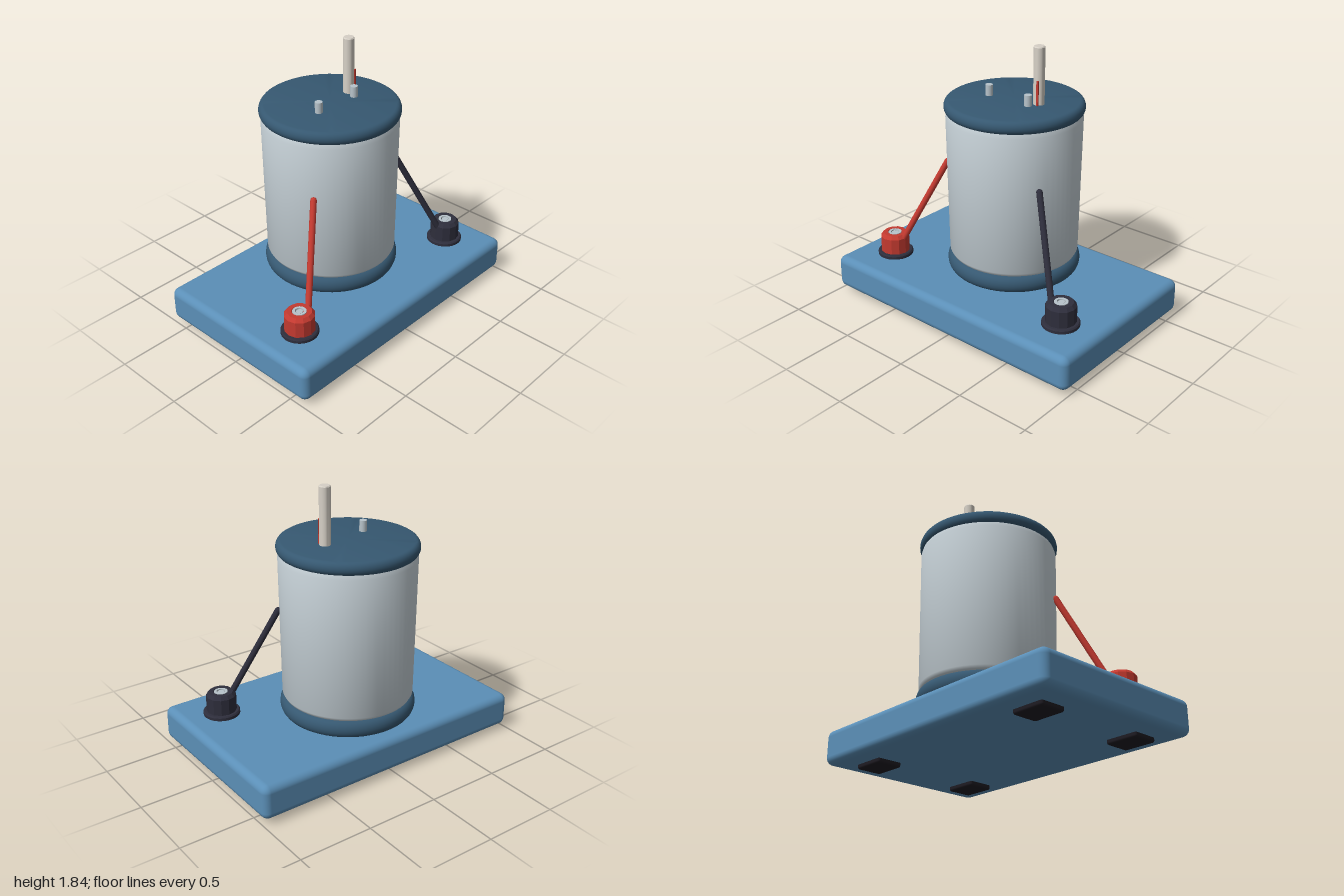
import * as THREE from 'three';
import { RoundedBoxGeometry } from 'three/addons/geometries/RoundedBoxGeometry.js';
import { toCreasedNormals } from 'three/addons/utils/BufferGeometryUtils.js';

const mat = (name, color) => {
  const m = new THREE.MeshStandardMaterial({ color });
  m.name = name;
  return m;
};

export function createModel() {
  const blue = mat('base blue', 0x5b8fb7);
  const navy = mat('cap navy', 0x365871);
  const silver = mat('body silver', 0xc6d1d7);
  const steel = mat('pin steel', 0xb8c4cb);
  const cream = mat('rod cream', 0xd6d0c6);
  const red = mat('red', 0xc43a30);
  const black = mat('charcoal', 0x2e2e3c);
  const rubber = mat('rubber', 0x1e1b22);

  const model = new THREE.Group();
  const CZ = -0.105; // vessel axis

  const add = (name, geo, material, x, y, z, parent = model) => {
    const mesh = new THREE.Mesh(geo, material);
    mesh.name = name;
    mesh.position.set(x, y, z);
    parent.add(mesh);
    return mesh;
  };
  const lathe = (pts, seg = 64) =>
    toCreasedNormals(new THREE.LatheGeometry(pts.map(p => new THREE.Vector2(...p)), seg), 0.6);
  // Disc with a rounded rim
  const roundedDisc = (r, h, e) => {
    const pts = [[0, 0]];
    for (let i = 0; i <= 10; i++) {
      const a = -Math.PI / 2 + Math.PI * i / 10;
      pts.push([r - e + e * Math.cos(a), h / 2 + h / 2 * Math.sin(a)]);
    }
    pts.push([0, h]);
    return lathe(pts);
  };

  // Base and feet
  add('base', new RoundedBoxGeometry(2, 0.235, 1.26, 4, 0.05), blue, 0, 0.1475, 0);
  for (const sx of [-1, 1]) for (const sz of [-1, 1]) {
    add('foot', new RoundedBoxGeometry(0.23, 0.05, 0.18, 2, 0.015), rubber, sx * 0.72, 0.025, sz * 0.39);
  }

  // Vessel: bottom ring, slightly flared body, lid
  add('bottomRing', roundedDisc(0.452, 0.12, 0.045), navy, 0, 0.265, CZ);
  add('vesselBody', lathe([[0, 0.37], [0.405, 0.375], [0.425, 0.39], [0.436, 0.41],
    [0.449, 1.35], [0.44, 1.38], [0, 1.38]]), silver, 0, 0, CZ);
  add('lid', roundedDisc(0.46, 0.088, 0.035), navy, 0, 1.374, CZ);

  // Pins, rod and its red marker on the lid
  for (const x of [-0.165, 0.159]) {
    add('lidPin', new THREE.CylinderGeometry(0.025, 0.025, 0.09, 16), steel, x, 1.49, -0.045);
  }
  add('rod', lathe([[0, 0], [0.037, 0], [0.037, 0.385], [0.032, 0.392], [0, 0.392]], 24), cream, 0.188, 1.45, -0.118);
  add('rodMarker', new THREE.BoxGeometry(0.014, 0.17, 0.009), red, 0.205, 1.54, -0.081);

  // Terminals with faceted knobs, sockets and leads to the vessel
  for (const [side, colour, label] of [[-1, red, 'right'], [1, black, 'left']]) {
    const terminal = new THREE.Group();
    terminal.name = label + 'Terminal';
    terminal.position.set(side * 0.73, 0.26, 0.32);
    model.add(terminal);
    add('collar', lathe([[0, 0], [0.122, 0], [0.122, 0.024], [0.115, 0.032], [0, 0.032]], 32), black, 0, 0, 0, terminal);
    const knob = toCreasedNormals(new THREE.LatheGeometry(
      [[0, 0.03], [0.1, 0.03], [0.1, 0.142], [0.08, 0.165], [0.05, 0.165], [0.045, 0.15], [0, 0.15]]
        .map(p => new THREE.Vector2(...p)), 12), 0.3);
    add('knob', knob, colour, 0, 0, 0, terminal);
    add('socketRing', lathe([[0.028, 0.145], [0.045, 0.145], [0.045, 0.166], [0.028, 0.166], [0.028, 0.145]], 24),
      steel, 0, 0, 0, terminal);
    add('socketPin', new THREE.CylinderGeometry(0.024, 0.024, 0.012, 6), steel, 0, 0.156, 0, terminal);

    const path = new THREE.LineCurve3(
      new THREE.Vector3(side * 0.66, 0.37, 0.325), new THREE.Vector3(side * 0.392, 0.99, 0.122));
    add(label + 'Lead', new THREE.TubeGeometry(path, 1, 0.021, 12), colour, 0, 0, 0);
    add(label + 'LeadTip', new THREE.SphereGeometry(0.021, 12, 8), colour, side * 0.392, 0.99, 0.122);
  }
  return model;
}
